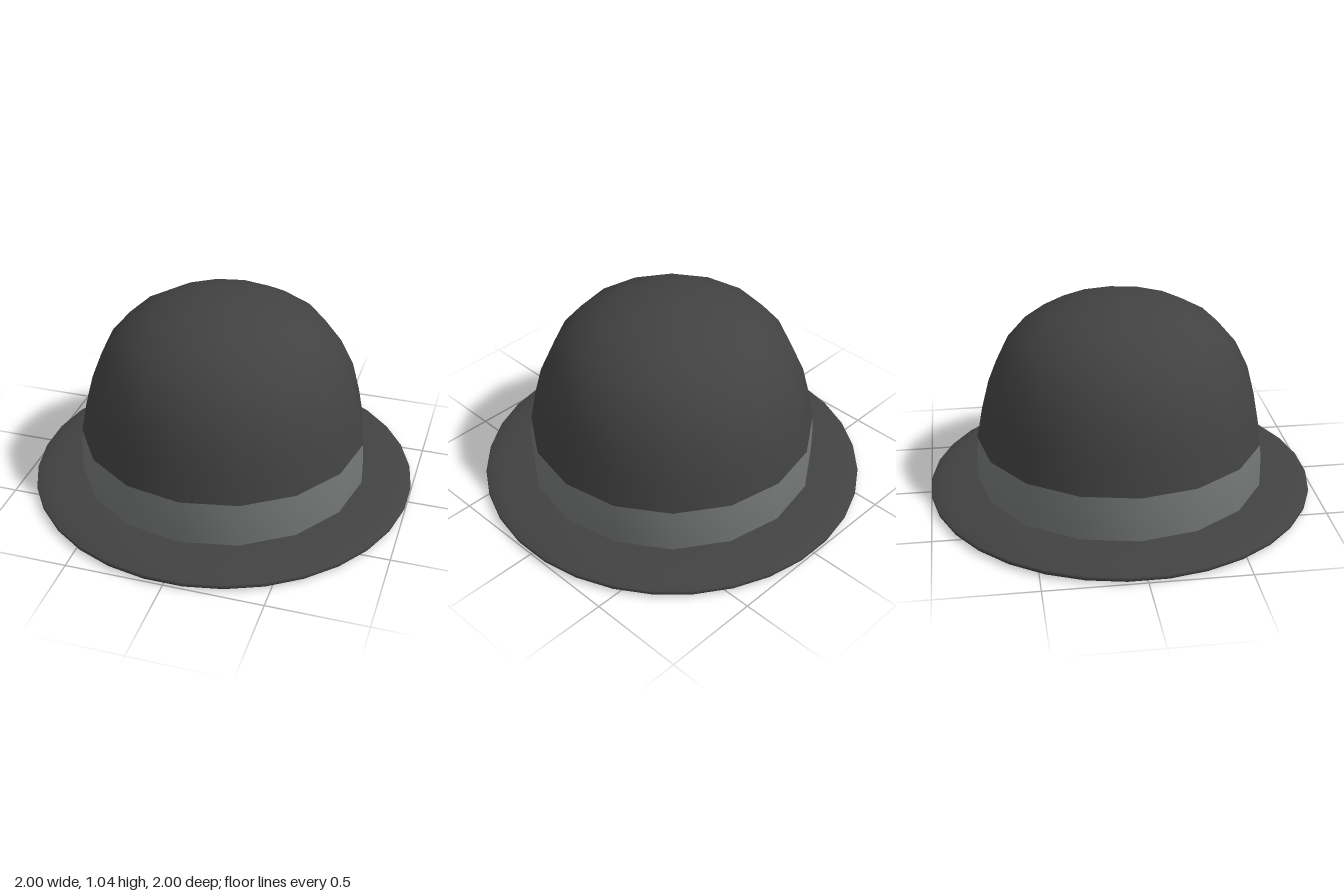
import * as THREE from 'three';

const felt = new THREE.MeshStandardMaterial({ name: 'charcoal felt', color: 0x424242 });
const ribbon = new THREE.MeshStandardMaterial({ name: 'grey ribbon', color: 0x747877 });

// Revolve a bottom-to-top list of [radius, height] points
function turned(name, profile, sides, material, start = 0) {
  const points = profile.map(([r, y]) => new THREE.Vector2(r, y));
  const mesh = new THREE.Mesh(new THREE.LatheGeometry(points, sides, start), material);
  mesh.name = name;
  return mesh;
}

export function createModel() {
  const hat = new THREE.Group();
  hat.name = 'roundHat';

  // Thin brim, closed underneath and sloping down to its rim
  hat.add(turned('brim', [
    [0, 0], [0.69, 0.002], [0.94, 0.008], [1.0, 0.012], [1.004, 0.022], [1.0, 0.034],
    [0.94, 0.05], [0.85, 0.064], [0.75, 0.072], [0.7, 0.073],
  ], 32, felt, Math.PI / 32));

  // Ribbon band around the foot of the crown
  hat.add(turned('band', [
    [0.752, 0.06], [0.753, 0.14], [0.752, 0.22], [0.746, 0.305],
  ], 16, ribbon));

  // Domed crown
  hat.add(turned('crown', [
    [0.746, 0.305], [0.715, 0.47], [0.675, 0.625], [0.605, 0.77], [0.505, 0.888],
    [0.37, 0.968], [0.23, 1.015], [0.09, 1.036], [0, 1.039],
  ], 16, felt));

  return hat;
}
